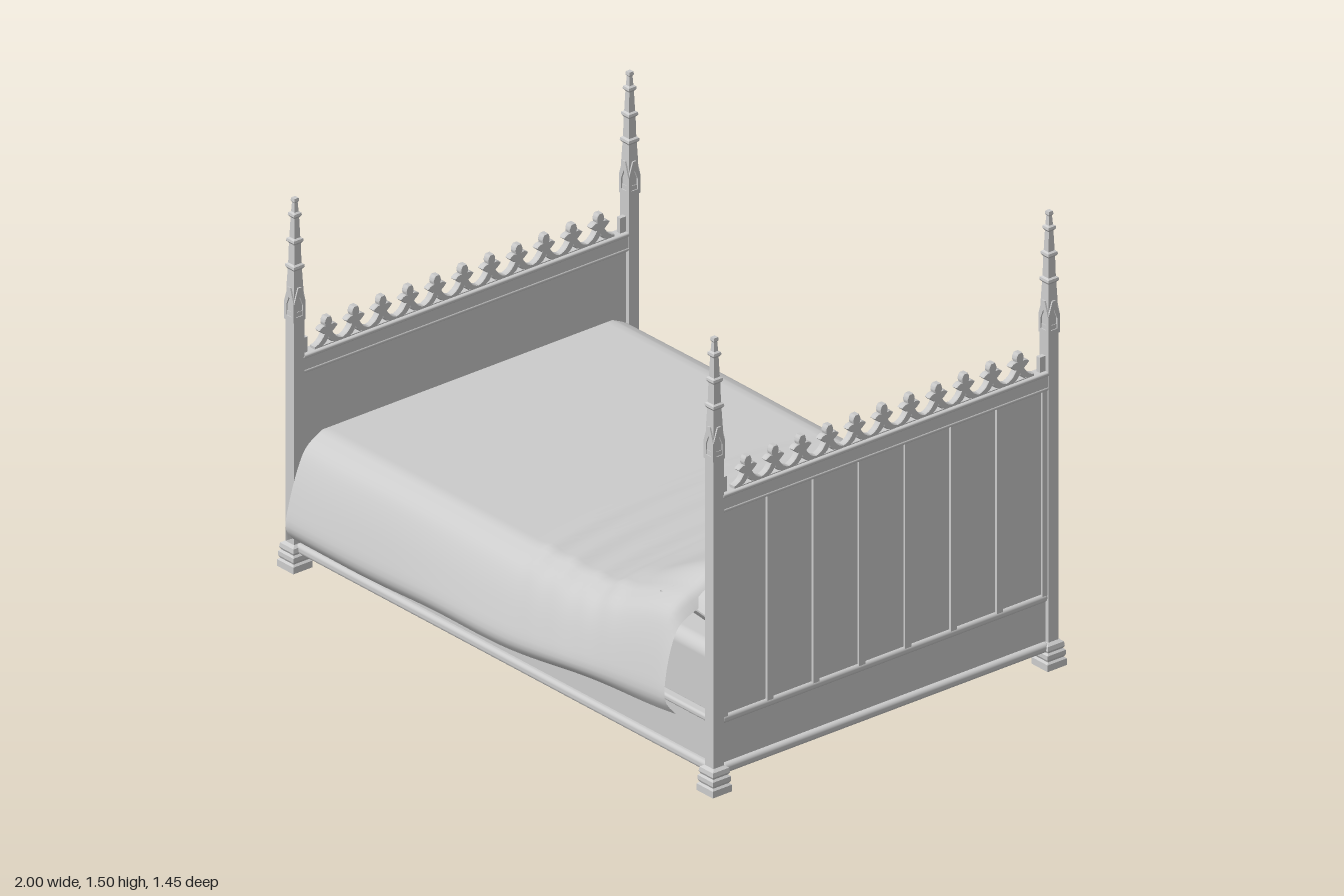
import * as THREE from 'three';
import { RoundedBoxGeometry } from 'three/addons/geometries/RoundedBoxGeometry.js';
import { toCreasedNormals } from 'three/addons/utils/BufferGeometryUtils.js';

const grey = new THREE.MeshStandardMaterial({ color: 0xcccccc });
const flat = new THREE.MeshStandardMaterial({ color: 0xcccccc, flatShading: true });
const cloth = new THREE.MeshStandardMaterial({ color: 0xcccccc, side: THREE.DoubleSide });
const { smoothstep, lerp } = THREE.MathUtils;
const v2 = (x, y) => new THREE.Vector2(x, y);

function add(parent, name, geometry, material = grey) {
  const mesh = new THREE.Mesh(geometry, material);
  mesh.name = name;
  parent.add(mesh);
  return mesh;
}

// Box given by its limits on each axis
function slab(parent, name, x0, x1, y0, y1, z0, z1) {
  const m = add(parent, name, new THREE.BoxGeometry(x1 - x0, y1 - y0, z1 - z0));
  m.position.set((x0 + x1) / 2, (y0 + y1) / 2, (z0 + z1) / 2);
  return m;
}

// Square turned profile from [half width, height] pairs
function squareProfile(pairs) {
  const pts = pairs.map(([r, y]) => v2(r * Math.SQRT2, y));
  return new THREE.LatheGeometry(pts, 4).rotateY(Math.PI / 4);
}

// Moulding with a rounded section, running along x or z
function moulding(parent, name, length, height, depth, along) {
  const g = new RoundedBoxGeometry(length, height, depth, 2, Math.min(height, depth) * 0.4);
  if (along === 'z') g.rotateY(Math.PI / 2);
  return add(parent, name, g);
}

// Extrude a shape whose horizontal axis runs along z, growing towards -x
function extrudeAcross(shape, depth) {
  const g = new THREE.ExtrudeGeometry(shape, {
    depth, curveSegments: 6, bevelEnabled: true, bevelSize: 0.002, bevelThickness: 0.003, bevelSegments: 1,
  });
  return toCreasedNormals(g.rotateY(-Math.PI / 2), 0.6);
}

// Cresting unit: trefoil finial on an ogee arch with a pierced opening
function crestShape() {
  const s = new THREE.Shape();
  s.moveTo(-0.0525, 0);
  s.lineTo(0.0525, 0);
  s.lineTo(0.0525, 0.01);
  s.quadraticCurveTo(0.028, 0.014, 0.014, 0.042);
  s.quadraticCurveTo(0.022, 0.046, 0.034, 0.058);
  s.quadraticCurveTo(0.022, 0.07, 0.01, 0.066);
  s.quadraticCurveTo(0.018, 0.08, 0.006, 0.094);
  s.lineTo(-0.006, 0.094);
  s.quadraticCurveTo(-0.018, 0.08, -0.01, 0.066);
  s.quadraticCurveTo(-0.022, 0.07, -0.034, 0.058);
  s.quadraticCurveTo(-0.022, 0.046, -0.014, 0.042);
  s.quadraticCurveTo(-0.028, 0.014, -0.0525, 0.01);
  const hole = new THREE.Path();
  hole.moveTo(-0.024, 0.006);
  hole.quadraticCurveTo(-0.008, 0.01, 0, 0.03);
  hole.quadraticCurveTo(0.008, 0.01, 0.024, 0.006);
  s.holes.push(hole);
  return s;
}

// Tracery for one panel: two pointed arches, a hanging drop and pierced eyes
function traceryShape(w) {
  const s = new THREE.Shape(), h = w / 2, q = w / 4;
  s.moveTo(-h, 0);
  s.lineTo(-h, -0.13);
  s.lineTo(-h + 0.01, -0.13);
  s.quadraticCurveTo(-h + 0.012, -0.085, -q, -0.06);
  s.quadraticCurveTo(-0.014, -0.085, -0.007, -0.125);
  s.lineTo(0, -0.14);
  s.lineTo(0.007, -0.125);
  s.quadraticCurveTo(0.014, -0.085, q, -0.06);
  s.quadraticCurveTo(h - 0.012, -0.085, h - 0.01, -0.13);
  s.lineTo(h, -0.13);
  s.lineTo(h, 0);
  for (const [x, y, r] of [[0, -0.048, 0.02], [-h + 0.022, -0.035, 0.012], [h - 0.022, -0.035, 0.012]]) {
    s.holes.push(new THREE.Path().absarc(x, y, r, 0, Math.PI * 2, true));
  }
  return s;
}

const PANEL = 0.177, POST_X = 0.963, POST_Z = 0.646;

function board(name, x, top, panelledOutside) {
  const g = new THREE.Group();
  g.name = name;
  slab(g, 'boardPanel', x - 0.008, x + 0.008, 0.06, top + 0.01, -0.63, 0.63);
  slab(g, 'topRail', x - 0.018, x + 0.018, top, top + 0.055, -0.63, 0.63);
  moulding(g, 'topRailCap', 1.26, 0.014, 0.044, 'z').position.set(x, top + 0.053, 0);
  moulding(g, 'topRailBead', 1.26, 0.012, 0.04, 'z').position.set(x, top + 0.004, 0);
  moulding(g, 'middleRail', 1.26, 0.028, 0.036, 'z').position.set(x, 0.232, 0);
  moulding(g, 'baseMoulding', 1.26, 0.032, 0.05, 'z').position.set(x, 0.071, 0);
  // Upright dividers between the panels
  for (let i = -3.5; i <= 3.5; i++) {
    const z = i * PANEL;
    slab(g, 'divider', x - 0.018, x, 0.24, top, z - 0.008, z + 0.008);
    if (panelledOutside) slab(g, 'outerDivider', x, x + 0.016, 0.24, top, z - 0.012, z + 0.012);
  }
  const tracery = extrudeAcross(traceryShape(PANEL), 0.008);
  for (let i = -3; i <= 3; i++) add(g, 'tracery', tracery).position.set(x - 0.007, top, i * PANEL);
  const crest = extrudeAcross(crestShape(), 0.016);
  for (let i = -5; i <= 5; i++) add(g, 'cresting', crest).position.set(x + 0.008, top + 0.057, i * 0.105);
  // Half-width stubs where the cresting meets the posts
  for (const s of [-1, 1]) slab(g, 'crestEnd', x - 0.008, x + 0.008, top + 0.05, top + 0.11, s * 0.615 - 0.012, s * 0.615 + 0.012);
  return g;
}

function post(x, z, shaftTop) {
  const g = new THREE.Group();
  g.name = 'post';
  g.position.set(x, 0, z);
  add(g, 'foot', squareProfile([[0, 0], [0.037, 0], [0.037, 0.022], [0.031, 0.028], [0.035, 0.036], [0.035, 0.05],
    [0.029, 0.056], [0.033, 0.064], [0.031, 0.078], [0.021, 0.085], [0, 0.085]]), flat);
  slab(g, 'shaft', -0.02, 0.02, 0.08, shaftTop + 0.03, -0.02, 0.02);
  // Four gablets around the foot of the spire
  const gable = new THREE.Shape([v2(-0.022, 0), v2(0.022, 0), v2(0.022, 0.06), v2(0.006, 0.11), v2(-0.006, 0.11), v2(-0.022, 0.06)]);
  gable.holes.push(new THREE.Path([v2(-0.012, 0.015), v2(-0.012, 0.05), v2(0, 0.08), v2(0.012, 0.05), v2(0.012, 0.015)]));
  const gableGeo = new THREE.ExtrudeGeometry(gable, { depth: 0.005, bevelEnabled: false }).translate(0, 0, 0.018);
  for (let i = 0; i < 4; i++) {
    const m = add(g, 'gablet', gableGeo);
    m.position.y = shaftTop;
    m.rotation.y = i * Math.PI / 2;
  }
  // Tapering spire with projecting bands
  const profile = [[0.018, 0], [0.018, 0.1]];
  for (const [y, r] of [[0.165, 0.015], [0.25, 0.0125], [0.335, 0.009]]) {
    profile.push([r, y], [r + 0.006, y + 0.008], [r + 0.005, y + 0.016], [r - 0.001, y + 0.02]);
  }
  profile.push([0.006, 0.385], [0.009, 0.39], [0.008, 0.4], [0, 0.4]);
  add(g, 'spire', squareProfile(profile), flat).position.y = shaftTop;
  return g;
}

// Blanket surface: a cross-section draped over the mattress, swept from foot to head
function blanketPoint(u, s, target) {
  const a = Math.abs(s), side = Math.max(0, (a - 0.55) / 0.45);
  const x = -0.94 + u * (1.715 + 0.06 * side * side) + 0.02 * side * (1 - u) ** 6;
  const flatZ = 0.56 * Math.min(1, a / 0.55);
  const rise = smoothstep(x, 0.32, 0.76) * (1 - 0.35 * smoothstep(flatZ, 0.42, 0.57));
  let top = 0.434 + 0.155 * rise - 0.04 * smoothstep(u, 0.98, 1) * (1 - side);
  // Soft creases curving across the middle
  const zc = s * 1.02;
  for (const [cx, h, w] of [[0.02, 0.012, 0.03], [0.13, 0.013, 0.035], [0.25, 0.012, 0.03], [0.36, 0.012, 0.03]]) {
    const d = (x - cx - 0.18 * (zc + 0.1) ** 2) / w;
    top += h * Math.exp(-d * d) * smoothstep(zc, -0.6, -0.2) * (1 - side);
  }
  const hem = 0.12 + 0.1 * u * u + 0.004 * Math.sin(u * 17 + s);
  let z = flatZ, y = top;
  if (side > 0) {
    const section = new THREE.SplineCurve([v2(0.56, top), v2(0.625, top - 0.035), v2(0.665, lerp(hem, top, 0.68)),
      v2(0.7, lerp(hem, top, 0.38)), v2(0.718, lerp(hem, top, 0.14)), v2(0.695, hem)]);
    const p = section.getPoint(side);
    z = p.x + side * (0.008 * Math.sin(u * 11 + s * 2) - (s > 0 ? 0.012 * (2 * u - 1) ** 4 : -0.006));
    y = p.y;
  }
  target.set(x, y, Math.sign(s) * z);
  return hem;
}

function blanket() {
  const nu = 90, nv = 80;
  const g = new THREE.PlaneGeometry(1, 1, nu + 1, nv);
  const pos = g.attributes.position, p = new THREE.Vector3();
  for (let j = 0; j <= nv; j++) for (let i = 0; i <= nu + 1; i++) {
    const hem = blanketPoint(Math.max(0, i - 1) / nu, (j / nv) * 2 - 1, p);
    // The first column drops to the hem and closes the foot end
    pos.setXYZ(j * (nu + 2) + i, p.x, i === 0 ? hem : p.y, p.z);
  }
  g.computeVertexNormals();
  return toCreasedNormals(g, 0.9);
}

// Pillow: a box swollen in the middle, with its edges drawn in between the corners
function pillowGeometry() {
  const g = new THREE.BoxGeometry(2, 2, 2, 20, 1, 28), pos = g.attributes.position;
  for (let i = 0; i < pos.count; i++) {
    const u = pos.getX(i), v = pos.getZ(i);
    const t = 0.003 + 0.077 * Math.sqrt(Math.max(0, (1 - u * u) * (1 - v * v)));
    pos.setXYZ(i, 0.16 * u * (1 - 0.17 * (1 - v * v)), Math.sign(pos.getY(i)) * t, 0.287 * v * (1 - 0.08 * (1 - u * u)));
  }
  g.computeVertexNormals();
  return g;
}

export function createModel() {
  const bed = new THREE.Group();
  bed.name = 'bed';
  bed.add(board('headboard', POST_X, 0.92, true), board('footboard', -POST_X, 0.64, false));
  for (const z of [-POST_Z, POST_Z]) {
    bed.add(post(POST_X, z, 1.1), post(-POST_X, z, 0.82));
    // Side rails with mouldings above and below
    const s = Math.sign(z);
    slab(bed, 'sideRail', -0.95, 0.95, 0.06, 0.225, s * 0.63 - 0.012, s * 0.63 + 0.012);
    moulding(bed, 'sideRailBase', 1.9, 0.032, 0.045, 'x').position.set(0, 0.071, s * 0.637);
    moulding(bed, 'sideRailCap', 1.9, 0.022, 0.036, 'x').position.set(0, 0.226, s * 0.633);
  }
  slab(bed, 'bedBase', -0.96, 0.96, 0.057, 0.075, -0.64, 0.64);
  add(bed, 'mattress', new RoundedBoxGeometry(1.88, 0.26, 1.18, 4, 0.04)).position.set(0, 0.29, 0);
  const pillow = pillowGeometry();
  for (const z of [-0.308, 0.288]) {
    const m = add(bed, 'pillow', pillow, cloth);
    m.position.set(0.787, 0.49, z);
    m.rotation.z = -0.12;
  }
  add(bed, 'blanket', blanket(), cloth);
  return bed;
}
